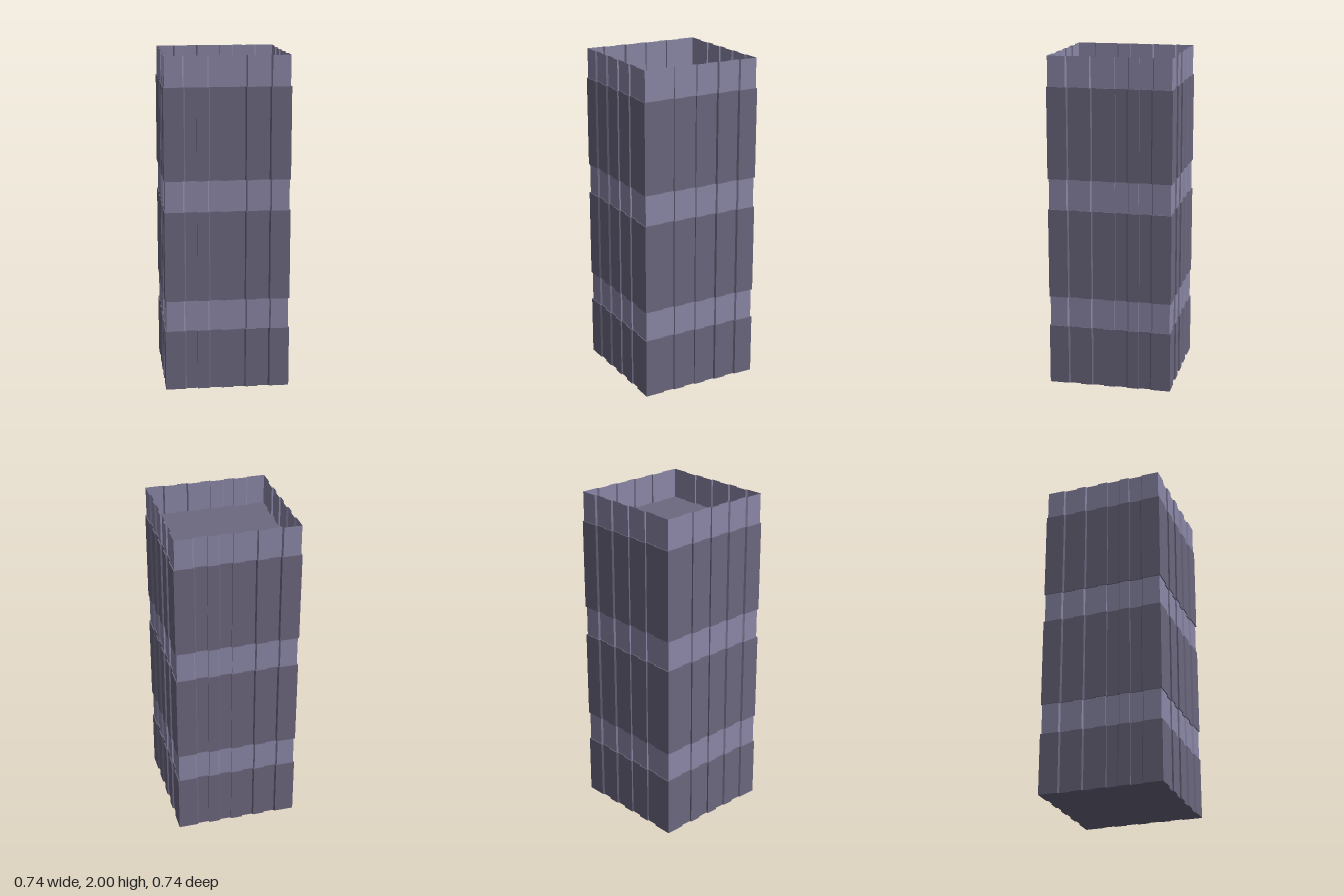
import * as THREE from 'three';

const HALF = 0.372, NOTCH = 0.01, INSET = 0.006;

// Half of one side, from its middle to the corner: [position, recessed?, shift when inset]
const HALF_SIDE = [
  [0.036, 0, -1], [0.036, 1, -1], [0.103, 1, 1], [0.11, 0, 1],
  [0.18, 0, -1], [0.18, 1, -1], [0.247, 1, 1], [0.255, 0, 1],
];

// Closed ribbed square outline, counter-clockwise
function outline(inset) {
  const half = HALF_SIDE.map(([t, deep, s]) => [t + s * inset, HALF - inset - deep * NOTCH]);
  const side = [
    ...half.map(([t, r]) => [-t, r]).reverse(),
    ...half,
    [HALF - inset, HALF - inset],
  ];
  const points = [];
  for (let k = 0; k < 4; k++) {
    const a = k * Math.PI / 2;
    for (const [t, r] of side) {
      points.push(new THREE.Vector2(r, t).rotateAround(new THREE.Vector2(), a));
    }
  }
  return points;
}

// Solid ribbed block with closed top and bottom
function blockGeometry(y0, y1) {
  const geo = new THREE.ExtrudeGeometry(new THREE.Shape(outline(0)), { depth: y1 - y0, bevelEnabled: false });
  return geo.rotateX(-Math.PI / 2).translate(0, y0, 0);
}

// Thin ribbed wall, open at both ends
function wallGeometry(y0, y1) {
  const pts = outline(INSET), pos = [];
  pts.forEach((a, i) => {
    const b = pts[(i + 1) % pts.length];
    pos.push(a.x, y0, -a.y, b.x, y0, -b.y, b.x, y1, -b.y);
    pos.push(a.x, y0, -a.y, b.x, y1, -b.y, a.x, y1, -a.y);
  });
  const geo = new THREE.BufferGeometry();
  geo.setAttribute('position', new THREE.Float32BufferAttribute(pos, 3));
  geo.computeVertexNormals();
  return geo;
}

export function createModel() {
  const group = new THREE.Group();
  group.name = 'ribbedTower';
  const dark = new THREE.MeshStandardMaterial({ color: 0x6c687f, flatShading: true });
  const light = new THREE.MeshStandardMaterial({ color: 0x8c88a8, flatShading: true, side: THREE.DoubleSide });

  const add = (name, geometry, material) => {
    const mesh = new THREE.Mesh(geometry, material);
    mesh.name = name;
    group.add(mesh);
  };

  // Wide dark blocks
  [['lowerBlock', 0, 0.365], ['middleBlock', 0.55, 1.09], ['upperBlock', 1.275, 1.82]]
    .forEach(([name, y0, y1]) => add(name, blockGeometry(y0, y1), dark));

  // Narrower pale bands; the last is the open parapet
  [['lowerBand', 0.365, 0.55], ['upperBand', 1.09, 1.275], ['parapet', 1.82, 2]]
    .forEach(([name, y0, y1]) => add(name, wallGeometry(y0, y1), light));

  return group;
}
